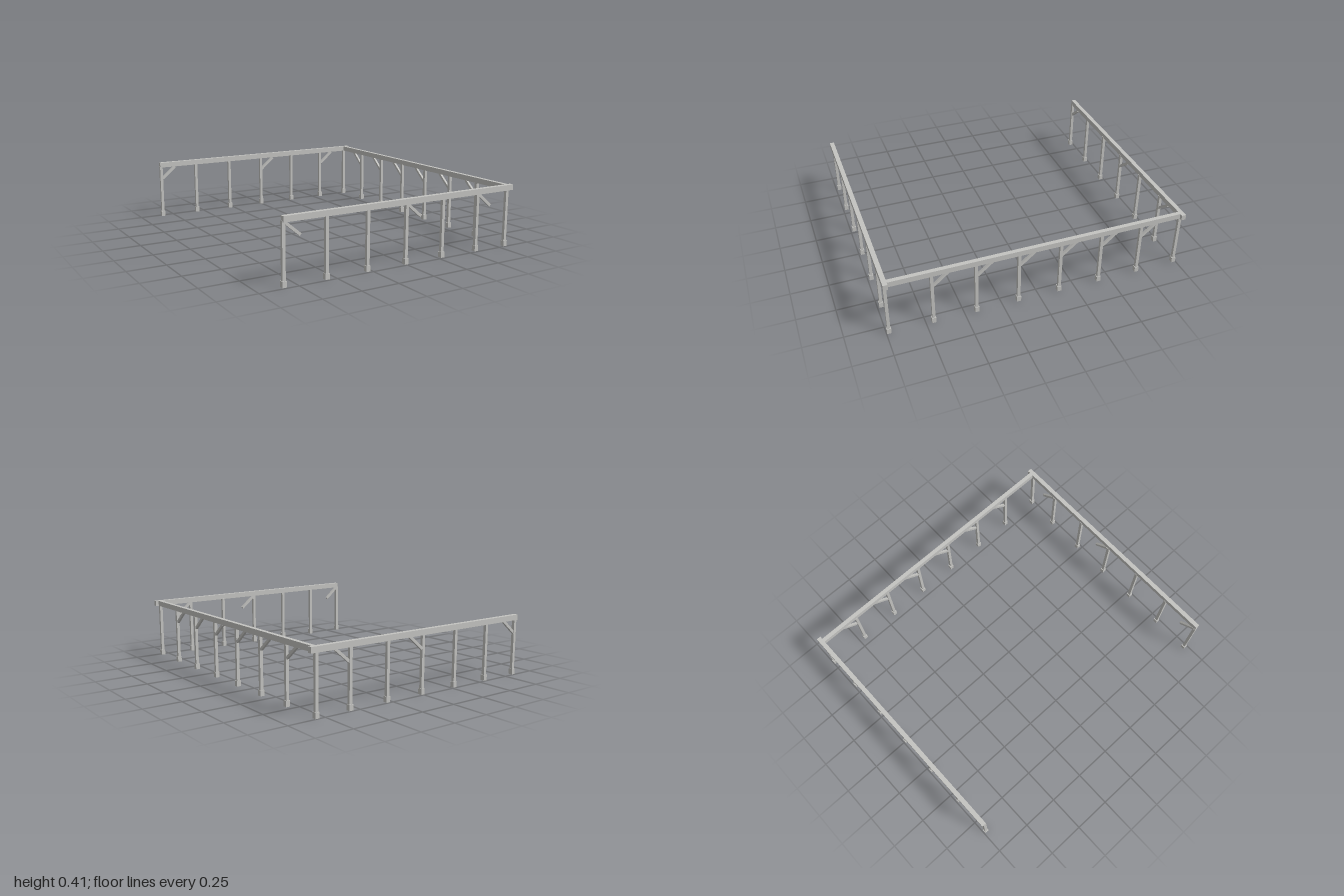
import * as THREE from 'three';

export function createModel() {
  const group = new THREE.Group();
  const paleGrey = new THREE.MeshStandardMaterial({ color: 0xc4c4c1 });
  paleGrey.name = 'paleGrey';

  function box(name, w, h, d, x, y, z) {
    const mesh = new THREE.Mesh(new THREE.BoxGeometry(w, h, d), paleGrey);
    mesh.name = name;
    mesh.position.set(x, y, z);
    group.add(mesh);
    return mesh;
  }

  const BEAM_BOTTOM = 0.374, BEAM_TOP = 0.41;
  const BEAM_H = BEAM_TOP - BEAM_BOTTOM, BEAM_Y = (BEAM_TOP + BEAM_BOTTOM) / 2;
  const FOOT_H = 0.037, TILT = 0.7;

  // Post standing on a slightly wider foot, its top let into the beam
  function post(x, z) {
    const top = 0.38;
    box('post', 0.02, top - FOOT_H, 0.02, x, (top + FOOT_H) / 2, z);
    box('postFoot', 0.028, FOOT_H, 0.028, x, FOOT_H / 2, z);
  }

  // Beams along the three sides
  box('frontBeam', 1.69, BEAM_H, 0.03, 0, BEAM_Y, 0.983);
  box('backBeam', 1.69, BEAM_H, 0.03, 0, BEAM_Y, -0.985);
  box('sideBeam', 0.028, BEAM_H, 1.94, 0.81, BEAM_Y, 0);

  // Front and back rows of posts
  for (const x of [-0.837, -0.559, -0.278, 0.001, 0.281, 0.56]) {
    post(x, 0.975);
    post(x, -0.979);
  }

  // Corner posts
  post(0.802, 0.983);
  post(0.802, -0.983);

  // Braces on every third post: falling in front, rising at the back
  for (const x of [-0.837, 0.001, 0.56]) {
    box('frontBrace', 0.132, 0.018, 0.016, x + 0.058, 0.33, 0.972).rotation.z = -TILT;
    box('backBrace', 0.132, 0.018, 0.016, x + 0.058, 0.33, -0.979).rotation.z = TILT;
  }

  // Side row, each post with a brace rising towards the back
  for (let i = 0; i < 6; i++) {
    const z = 0.7 - i * 0.28;
    post(0.805, z);
    box('sideBrace', 0.016, 0.016, 0.132, 0.805, 0.332, z - 0.06).rotation.x = TILT;
  }

  return group;
}
